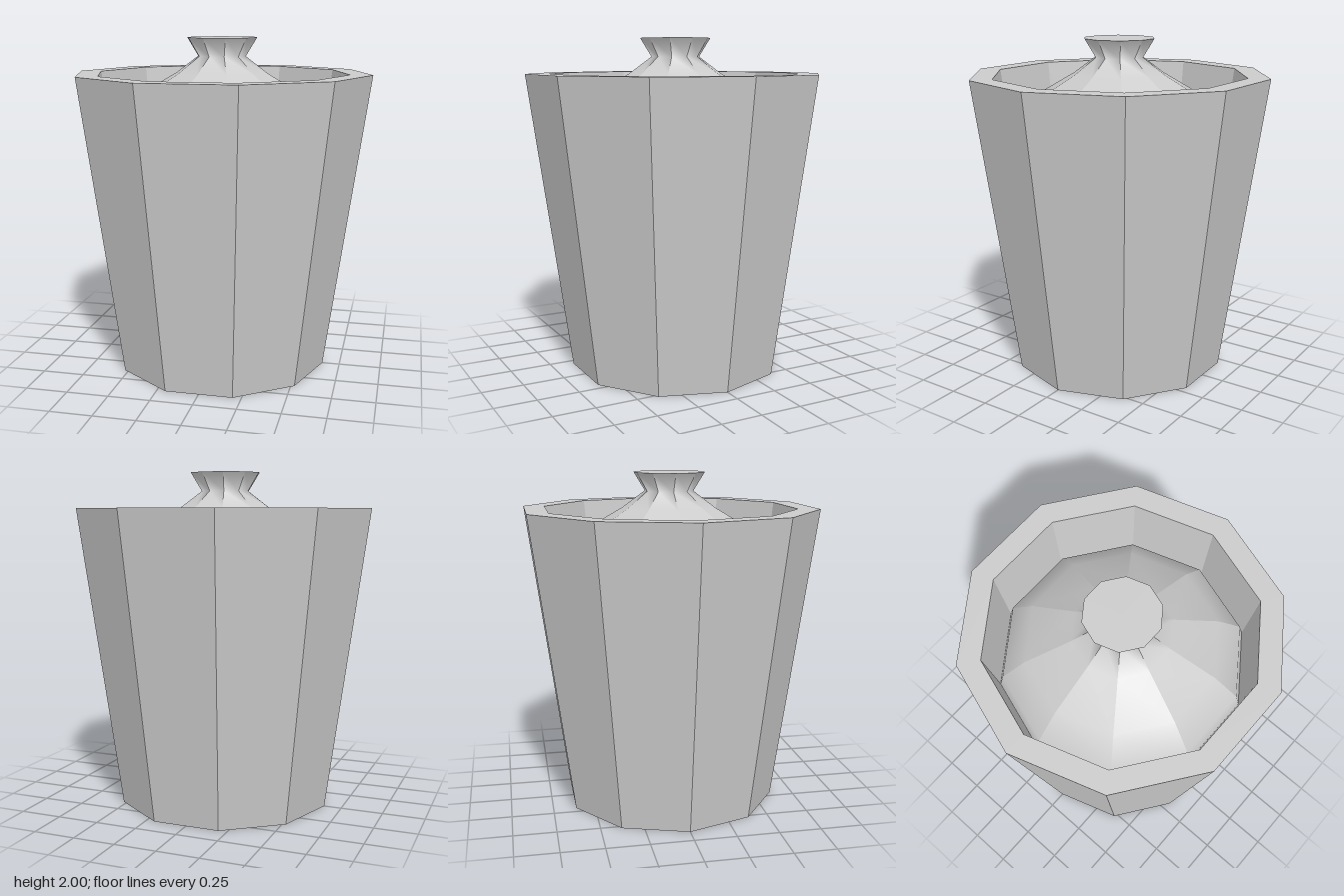
import * as THREE from 'three';

const SIDES = 10;
const STEP = (Math.PI * 2) / SIDES;
const START = STEP / 2; // puts a corner on the x axis

const toPoints = (list) => list.map(([r, y]) => new THREE.Vector2(r, y));

export function createModel() {
  const model = new THREE.Group();
  const flat = new THREE.MeshStandardMaterial({ color: 0xcccccc, flatShading: true });
  const smooth = new THREE.MeshStandardMaterial({ color: 0xcccccc });

  // Tapered ten-sided pot: base, outer wall, rim, inner wall, floor
  const potProfile = toPoints([
    [0, 0], [0.645, 0], [0.893, 1.79], [0.762, 1.79], [0.54, 0.1], [0, 0.1],
  ]);
  const pot = new THREE.Mesh(new THREE.LatheGeometry(potProfile, SIDES, START), flat);
  pot.name = 'pot';
  model.add(pot);

  // Lid: each side is rounded up its height, with sharp ribs between sides
  const lid = new THREE.Group();
  lid.name = 'lid';
  const lidProfile = toPoints([
    [0.71, 1.39], [0.685, 1.49], [0.543, 1.637], [0.28, 1.79], [0.145, 1.89], [0.213, 2],
  ]);
  for (let i = 0; i < SIDES; i++) {
    const panel = new THREE.LatheGeometry(lidProfile, 1, START + i * STEP, STEP);
    panel.computeVertexNormals();
    const mesh = new THREE.Mesh(panel, smooth);
    mesh.name = 'lidPanel';
    lid.add(mesh);
  }

  // Flat top of the knob and underside of the lid
  const addDisc = (name, radius, y, facing) => {
    const disc = new THREE.Mesh(new THREE.CircleGeometry(radius, SIDES), flat);
    disc.name = name;
    disc.rotation.x = (-facing * Math.PI) / 2;
    disc.position.y = y;
    lid.add(disc);
  };
  addDisc('knobTop', 0.213, 2, 1);
  addDisc('lidUnderside', 0.71, 1.39, -1);
  model.add(lid);

  return model;
}
